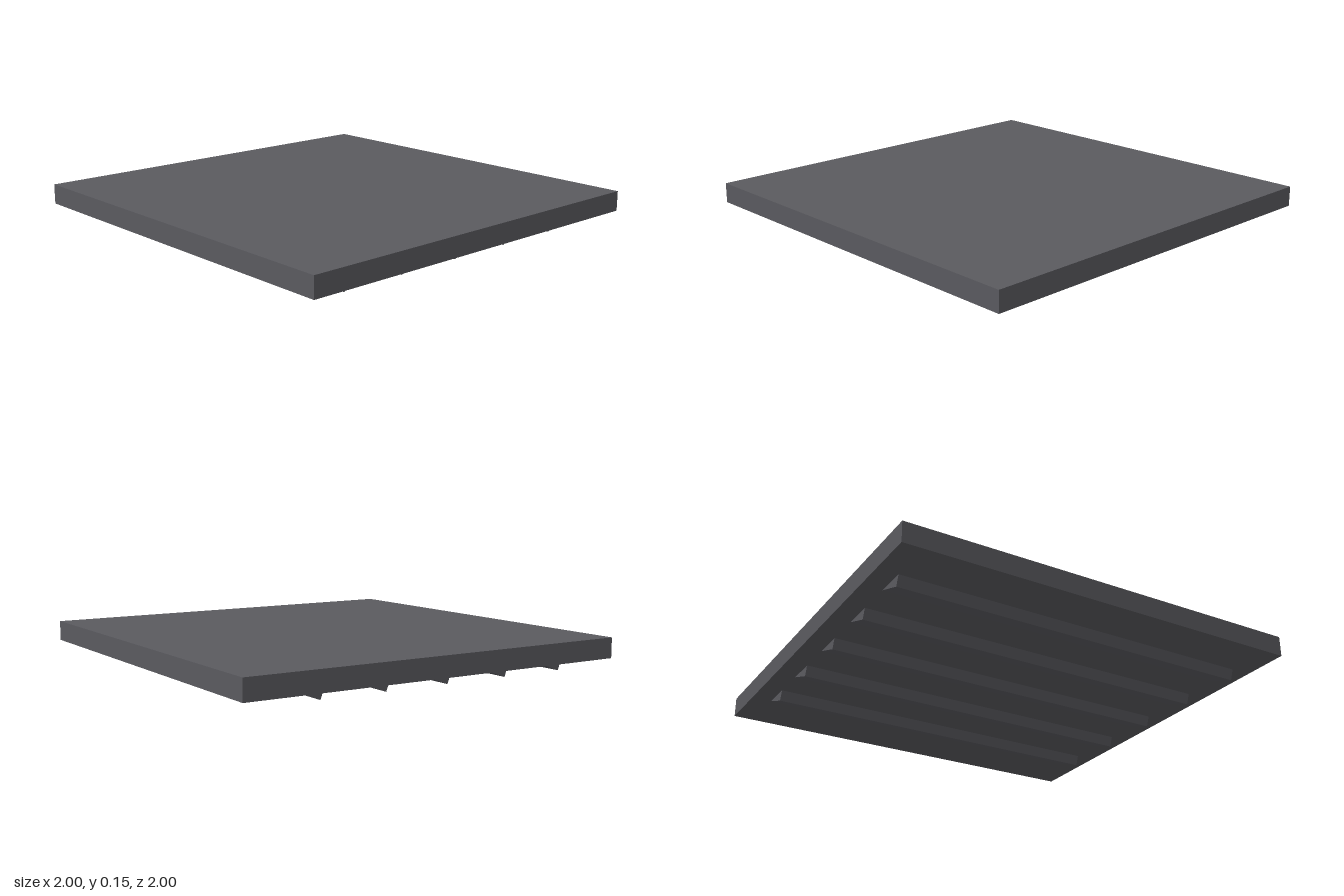
import * as THREE from 'three';

export function createModel() {
  const group = new THREE.Group();
  const material = new THREE.MeshStandardMaterial({ color: 0x5a5a5f });

  // Flat square panel
  const panel = new THREE.Mesh(new THREE.BoxGeometry(2, 0.1, 2), material);
  panel.name = 'panel';
  panel.position.y = 0.1;
  group.add(panel);

  // Tilted louver slats, half sunk into the underside
  const count = 5, spacing = 1 / 3, width = 0.2, thickness = 0.055;
  const tilt = THREE.MathUtils.degToRad(20);
  const slatGeometry = new THREE.BoxGeometry(1.8, thickness, width);
  const centreY = (width * Math.sin(tilt) + thickness * Math.cos(tilt)) / 2;
  const slats = new THREE.Group();
  slats.name = 'louverSlats';
  for (let i = 0; i < count; i++) {
    const slat = new THREE.Mesh(slatGeometry, material);
    slat.name = `slat${i + 1}`;
    slat.position.set(0, centreY, (i - (count - 1) / 2) * spacing);
    slat.rotation.x = tilt;
    slats.add(slat);
  }
  group.add(slats);

  return group;
}
